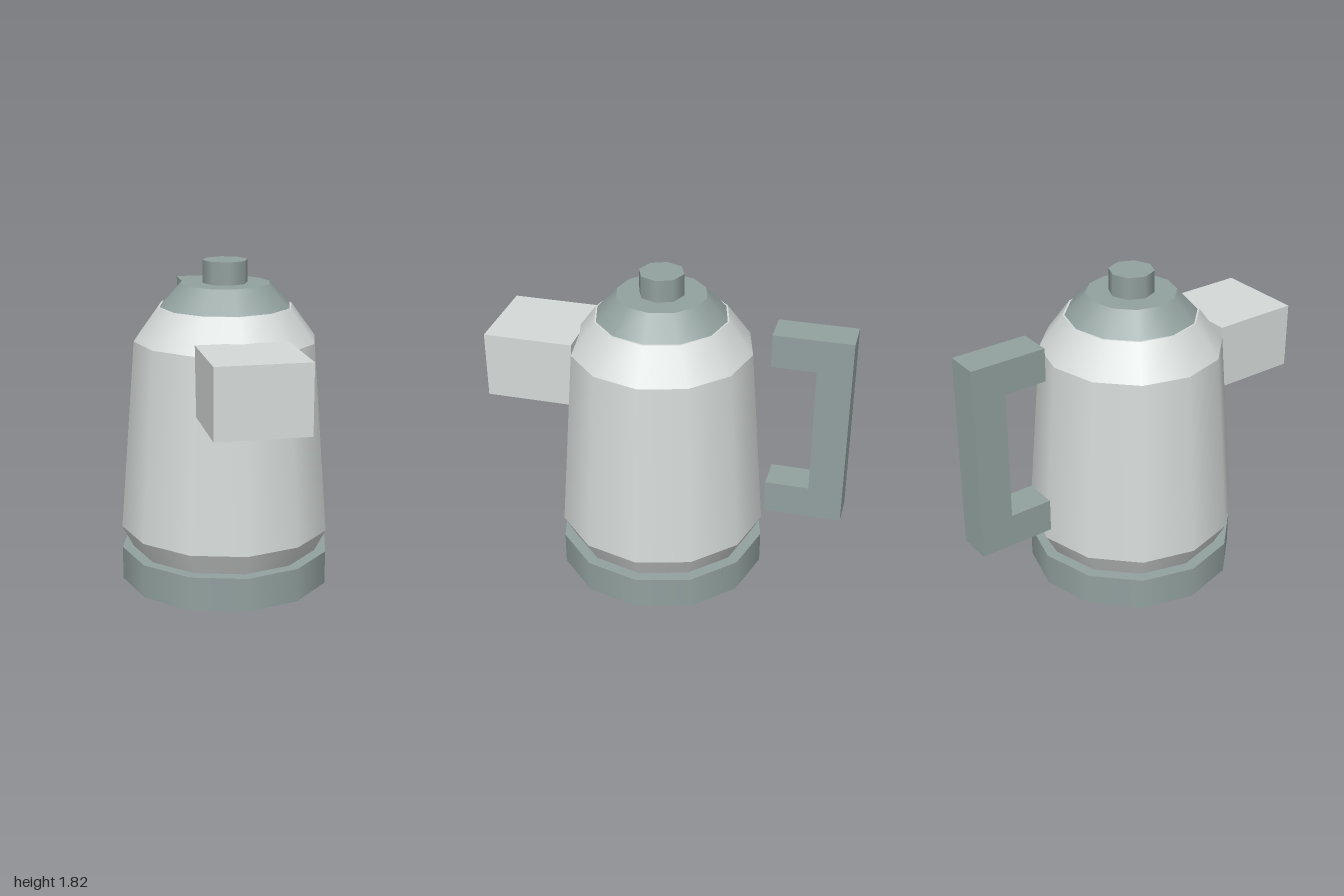
import * as THREE from 'three';

export function createModel() {
  const model = new THREE.Group();
  const metal = new THREE.MeshStandardMaterial({ color: 0xd5dad8 });
  metal.name = 'light metal';
  const trim = new THREE.MeshStandardMaterial({ color: 0x92a19f });
  trim.name = 'grey green trim';
  const axisZ = 0.06; // the round parts share this axis

  function add(parent, name, geometry, material, x, y, z) {
    const mesh = new THREE.Mesh(geometry, material);
    mesh.name = name;
    mesh.position.set(x, y, z);
    parent.add(mesh);
    return mesh;
  }

  // Tapered round section between two heights
  function ring(parent, name, material, y0, r0, y1, r1, sides = 12, open = false) {
    const geometry = new THREE.CylinderGeometry(r1, r0, y1 - y0, sides, 1, open);
    return add(parent, name, geometry, material, 0, (y0 + y1) / 2, axisZ);
  }

  // Base
  ring(model, 'base', trim, 0, 0.595, 0.19, 0.595);

  // Body: separate sections keep a crisp edge between the bands
  const body = new THREE.Group();
  body.name = 'body';
  model.add(body);
  ring(body, 'lowerBody', metal, 0.19, 0.53, 0.315, 0.595, 12, true);
  ring(body, 'bodyWall', metal, 0.315, 0.595, 1.38, 0.51, 12, true);
  ring(body, 'shoulder', metal, 1.38, 0.51, 1.565, 0.375);

  // Lid and its knob
  ring(model, 'lid', trim, 1.565, 0.365, 1.69, 0.25);
  ring(model, 'lidKnob', trim, 1.69, 0.125, 1.815, 0.125, 8);

  // Spout
  add(model, 'spout', new THREE.BoxGeometry(0.5, 0.375, 0.5), metal, 0, 1.2525, 0.75);

  // Handle: C-shaped outline (backward distance, height) extruded across x
  const outline = new THREE.Shape([
    [0.565, 0.44], [1, 0.44], [1, 1.565], [0.565, 1.565],
    [0.565, 1.375], [0.81, 1.375], [0.81, 0.63], [0.565, 0.63],
  ].map(([d, y]) => new THREE.Vector2(d, y)));
  const handle = new THREE.ExtrudeGeometry(outline, { depth: 0.19, bevelEnabled: false });
  handle.translate(0, 0, -0.095).rotateY(Math.PI / 2);
  add(model, 'handle', handle, trim, 0, 0, 0);

  return model;
}
